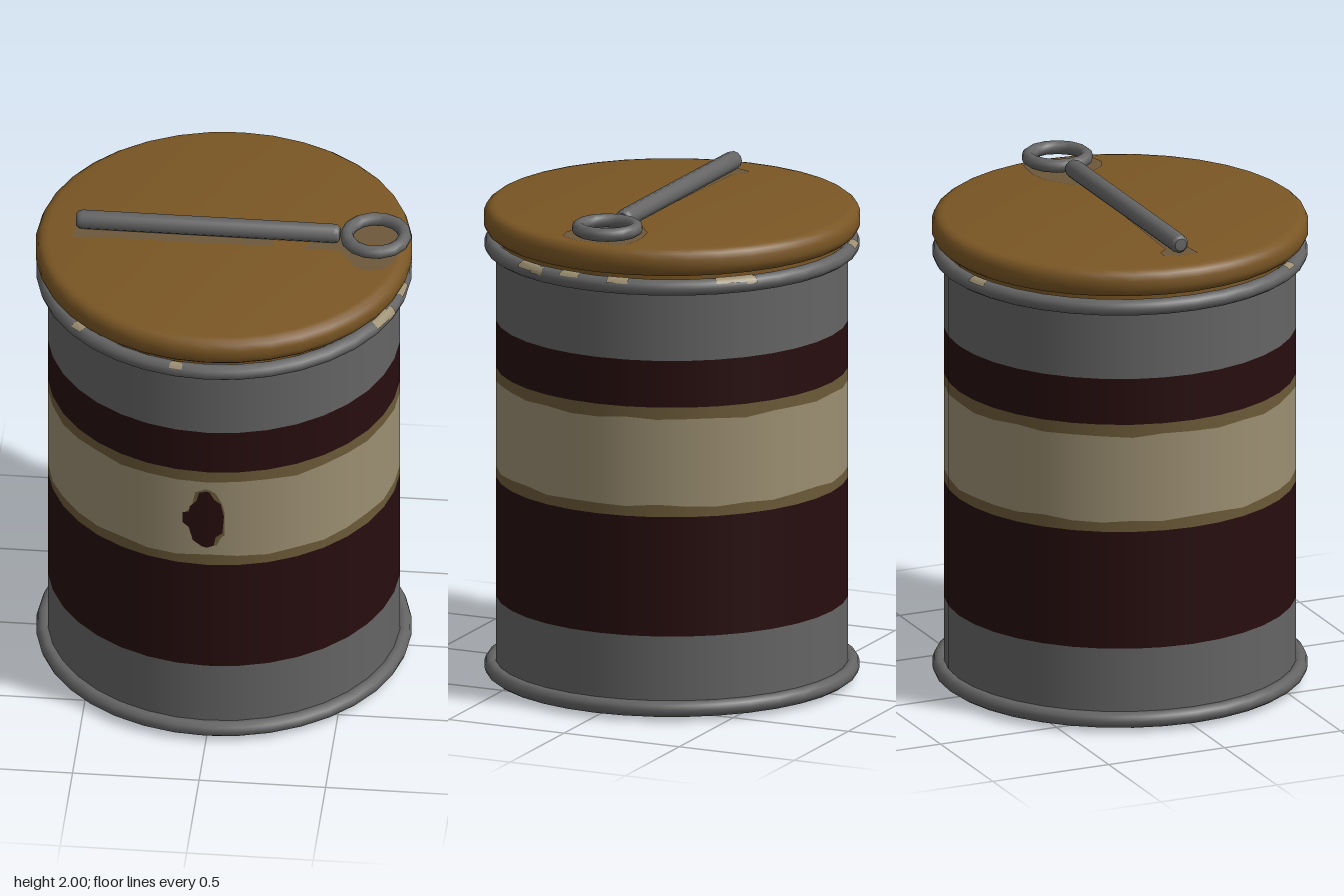
import * as THREE from 'three';
import { toCreasedNormals } from 'three/addons/utils/BufferGeometryUtils.js';

const SIDES = 36;
const R = 0.695;

function paint(name, color) {
  const m = new THREE.MeshStandardMaterial({ color });
  m.name = name;
  return m;
}

export function createModel() {
  const group = new THREE.Group();
  const steel = paint('grey steel', 0x646464);
  const gold = paint('brass lid', 0x7a5624);
  const maroon = paint('dark maroon', 0x270d0e);
  const cream = paint('cream label', 0x9b8e71);
  const tan = paint('tan border', 0x6b5a38);
  const worn = paint('worn brass', 0x6d583a);

  function add(name, geometry, material) {
    const mesh = new THREE.Mesh(geometry, material);
    mesh.name = name;
    group.add(mesh);
    return mesh;
  }

  // Revolve a profile of [radius, y] pairs, listed from bottom to top
  function lathe(pts, sides = SIDES, start = 0, sweep = Math.PI * 2) {
    const g = new THREE.LatheGeometry(pts.map(p => new THREE.Vector2(...p)), sides, start, sweep);
    return toCreasedNormals(g, 0.7);
  }

  // Wall bands, with slightly ragged edges around the cream label
  const ragged = (i, k) => 0.005 * Math.sin(i * 2.3 + k) + 0.003 * Math.sin(i * 5.1 + k * 2);
  function band(name, y0, y1, material, rag0 = 0, rag1 = 0) {
    const g = new THREE.CylinderGeometry(R, R, 1, SIDES, 1, true);
    const pos = g.attributes.position;
    for (let i = 0; i < pos.count; i++) {
      const step = i % (SIDES + 1) % SIDES;
      const top = pos.getY(i) > 0;
      const k = top ? rag1 : rag0;
      pos.setY(i, (top ? y1 : y0) + (k ? ragged(step, k) : 0));
    }
    add(name, g, material);
  }
  band('lowerWall', 0.04, 0.34, steel);
  band('lowerStripe', 0.34, 0.825, maroon);
  band('lowerBorder', 0.825, 0.868, tan, 0, 1);
  band('labelBand', 0.868, 1.222, cream, 1, 4);
  band('upperBorder', 1.222, 1.27, tan, 4, 0);
  band('upperStripe', 1.27, 1.46, maroon);
  band('upperWall', 1.46, 1.77, steel);

  // Base plate and the rolled beads at both ends
  add('base', lathe([[0, 0.003], [0.655, 0.003], [0.675, 0.012], [0.69, 0.05]]), steel);
  function bead(name, y) {
    const g = new THREE.TorusGeometry(0.708, 0.032, 10, SIDES);
    g.rotateX(Math.PI / 2).rotateY(Math.PI / 2);
    add(name, g, steel).position.y = y;
  }
  bead('bottomBead', 0.05);
  bead('topBead', 1.762);

  // Neck and rounded lid
  add('neck', lathe([[0.675, 1.76], [0.675, 1.83]]), gold);
  add('lid', lathe([
    [0, 1.808], [0.69, 1.808], [0.715, 1.811], [0.732, 1.825], [0.742, 1.848],
    [0.742, 1.88], [0.733, 1.904], [0.716, 1.917], [0.695, 1.921], [0, 1.921],
  ]), gold);

  // Paint flakes hugging the upper half of the top bead: [angle, sweep, low, high]
  const flakes = [
    [1.05, 0.15, 0.3, 1.5], [1.36, 0.12, 0.6, 1.7], [1.65, 0.12, 0.5, 1.6],
    [2.25, 0.22, 0.5, 1.7], [2.42, 0.06, 0.2, 1.2], [-0.2, 0.07, 0.6, 1.6],
    [-0.86, 0.08, 0.7, 1.7], [1.16, 0.08, 0.1, 1.3], [3.35, 0.12, 0.5, 1.6],
  ];
  for (const [angle, sweep, low, high] of flakes) {
    const pts = [];
    for (let i = 0; i <= 4; i++) {
      const a = low + (high - low) * i / 4;
      pts.push([0.708 + 0.035 * Math.cos(a), 1.762 + 0.035 * Math.sin(a)]);
    }
    add('paintFlake', lathe(pts, 3, angle, sweep), cream);
  }

  // Chipped spot on the label: a fan of points folded over the wall facets
  function chip(name, outline, lift, material) {
    const cy = 1.05;
    const at = (x, y) => [x, y, R + lift - Math.abs(x) * Math.tan(Math.PI / SIDES)];
    const verts = [];
    outline.forEach((p, i) => {
      const q = outline[(i + 1) % outline.length];
      verts.push(...at(0, cy), ...at(...p), ...at(...q));
    });
    const g = new THREE.BufferGeometry();
    g.setAttribute('position', new THREE.Float32BufferAttribute(verts, 3));
    g.computeVertexNormals();
    add(name, g, material);
  }
  chip('chipFringe', [
    [0, 0.92], [0.04, 0.92], [0.052, 0.95], [0.07, 0.97], [0.07, 1.08], [0.06, 1.12], [0.035, 1.17],
    [0, 1.19], [-0.045, 1.17], [-0.06, 1.1], [-0.09, 1.06], [-0.065, 0.97], [-0.03, 0.92],
  ], 0.002, tan);
  chip('chip', [
    [0, 0.91], [0.028, 0.92], [0.035, 0.96], [0.062, 0.98], [0.068, 1.06], [0.055, 1.12], [0.03, 1.14],
    [0.012, 1.175], [0, 1.18], [-0.03, 1.17], [-0.04, 1.13], [-0.068, 1.1], [-0.07, 1.075],
    [-0.095, 1.07], [-0.095, 1.02], [-0.07, 1.0], [-0.055, 0.94], [-0.02, 0.915],
  ], 0.004, maroon);

  // Worn patches on the lid, outlined as [x, z]
  function lidPatch(name, outline, lift, material) {
    const shape = new THREE.Shape(outline.map(([x, z]) => new THREE.Vector2(x, -z)));
    add(name, new THREE.ShapeGeometry(shape).rotateX(-Math.PI / 2), material).position.y = 1.921 + lift;
  }
  lidPatch('barWear', [
    [-0.59, 0.07], [-0.49, 0.06], [-0.1, 0.06], [0.2, 0.055], [0.2, 0], [-0.5, -0.03],
    [-0.53, -0.065], [-0.57, -0.07], [-0.59, -0.02],
  ], 0.002, worn);
  lidPatch('ringWear', [
    [0.32, 0.06], [0.46, 0.06], [0.53, 0.16], [0.58, 0.185], [0.65, 0.17], [0.69, 0.1],
    [0.695, -0.08], [0.66, -0.12], [0.55, -0.13], [0.46, -0.11], [0.36, -0.03],
  ], 0.002, worn);
  lidPatch('ringWearCentre', [[0.56, 0.01], [0.58, 0.05], [0.605, 0.04], [0.6, 0]], 0.004, gold);

  // Handle: bar with rounded ends lying along x, and the flat ring at its left
  const bar = lathe([
    [0, -0.523], [0.025, -0.521], [0.035, -0.511], [0.038, -0.495],
    [0.038, 0.495], [0.035, 0.511], [0.025, 0.521], [0, 0.523],
  ], 12);
  add('handleBar', bar.rotateZ(-Math.PI / 2), steel).position.set(-0.062, 1.962, 0);
  const ring = new THREE.TorusGeometry(0.115, 0.027, 10, 14);
  add('handleRing', ring.rotateX(Math.PI / 2), steel).position.set(0.6, 1.963, 0);

  return group;
}
